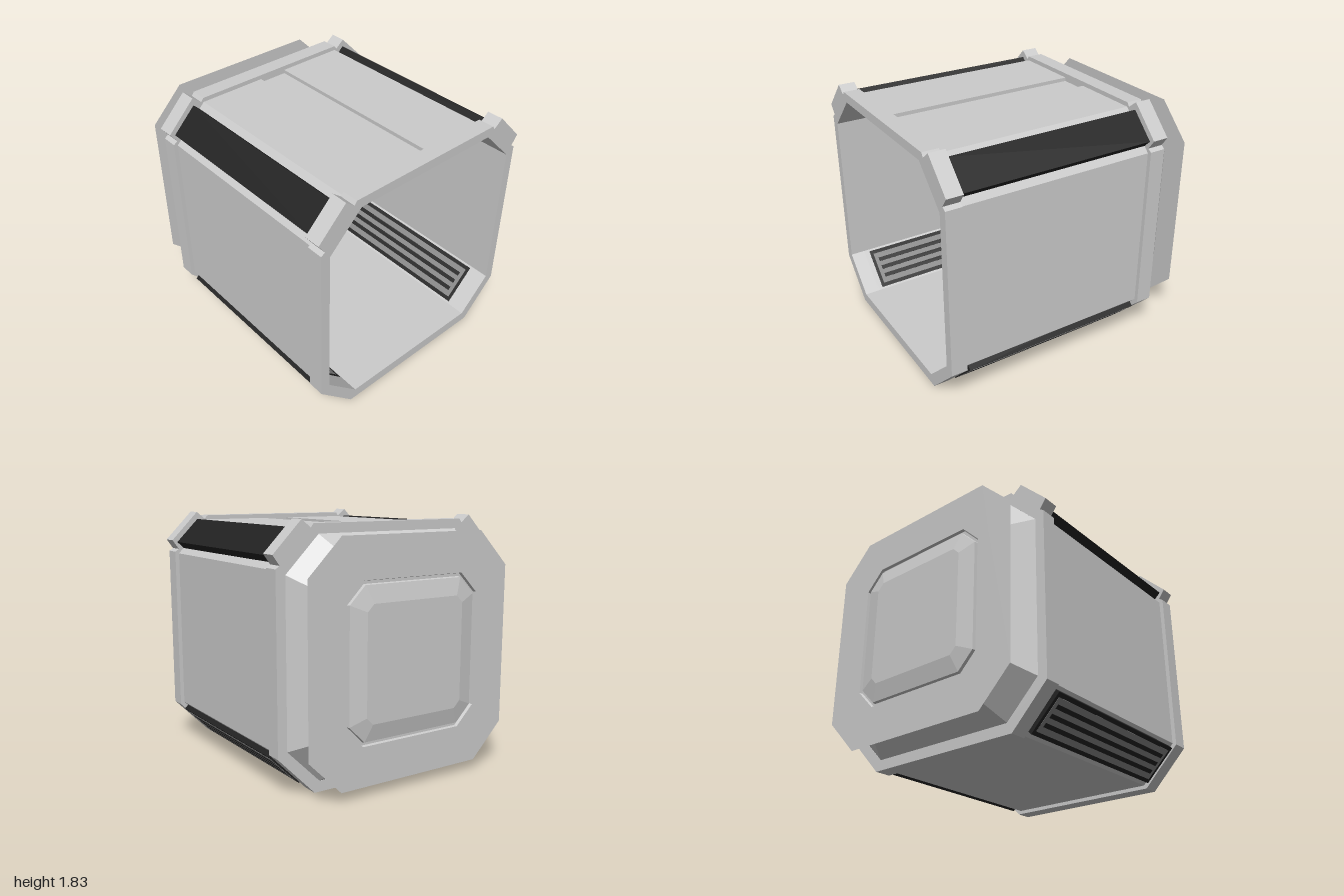
import * as THREE from 'three';

const grey = new THREE.MeshStandardMaterial({ color: 0xcccccc, flatShading: true });
const greyThin = new THREE.MeshStandardMaterial({ color: 0xcccccc, flatShading: true, side: THREE.DoubleSide });
const black = new THREE.MeshStandardMaterial({ color: 0x222222, flatShading: true });
const ventGrey = new THREE.MeshStandardMaterial({ color: 0x888888, flatShading: true });

// Octagon with cut corners, counter-clockwise from the lower right
const oct = (hx, y0, y1, c) => [
  [hx - c, y0], [hx, y0 + c], [hx, y1 - c], [hx - c, y1],
  [c - hx, y1], [-hx, y1 - c], [-hx, y0 + c], [c - hx, y0],
];
const vecs = (pts) => pts.map(([x, y]) => new THREE.Vector2(x, y));
const mirrored = (half) => [...half, ...half.slice().reverse().map(([x, y]) => [-x, y])];

function holed(outer, inner) {
  const shape = new THREE.Shape(vecs(outer));
  shape.holes.push(new THREE.Path(vecs(inner)));
  return shape;
}

function slab(outer, inner, z0, z1) {
  const geo = new THREE.ExtrudeGeometry(holed(outer, inner), { depth: z1 - z0, bevelEnabled: false });
  return geo.translate(0, 0, z0);
}

// Faceted skin through octagon rings, closed by a flat cap on the last ring
function loft(rings) {
  const pos = [];
  const tri = (...p) => p.forEach((v) => pos.push(...v));
  const loops = rings.map(([hx, y0, y1, c, z]) => oct(hx, y0, y1, c).map(([x, y]) => [x, y, z]));
  for (let r = 0; r < loops.length - 1; r++) {
    for (let i = 0; i < 8; i++) {
      const j = (i + 1) % 8, a = loops[r], b = loops[r + 1];
      tri(a[i], b[i], a[j]);
      tri(a[j], b[i], b[j]);
    }
  }
  const last = loops[loops.length - 1];
  for (let i = 1; i < 7; i++) tri(last[0], last[i + 1], last[i]);
  const geo = new THREE.BufferGeometry();
  geo.setAttribute('position', new THREE.Float32BufferAttribute(pos, 3));
  geo.computeVertexNormals();
  return geo;
}

export function createModel() {
  const model = new THREE.Group();
  const add = (name, geo, mat, parent = model) => {
    const mesh = new THREE.Mesh(geo, mat);
    mesh.name = name;
    parent.add(mesh);
    return mesh;
  };

  const opening = oct(0.83, 0.08, 1.74, 0.25);

  // Tube walls, with a shallow channel along the roof
  const wall = mirrored([
    [0.6, 0.03], [0.87, 0.305], [0.87, 1.515], [0.62, 1.775], [0.11, 1.775], [0.11, 1.748],
  ]);
  add('hull', slab(wall, opening, -0.6, 0.89), grey);

  // End frames with raised blocks at the upper corners
  const frame = mirrored([
    [0.62, 0.003], [0.9, 0.29], [0.9, 1.53], [0.87, 1.55], [0.92, 1.62],
    [0.708, 1.835], [0.64, 1.78], [0.62, 1.807],
  ]);
  add('frontFrame', slab(frame, opening, 0.88, 1), grey);
  add('backFrame', slab(frame, opening, -0.71, -0.59), grey);

  for (const side of [1, -1]) {
    // Dark strip on each upper corner
    const strip = add('cornerStrip', new THREE.BoxGeometry(0.247, 0.106, 1.47), black);
    strip.position.set(side * 0.755, 1.655, 0.145);
    strip.rotation.z = -side * Math.PI / 4;

    // Vent passing through each lower corner
    const vent = new THREE.Group();
    vent.name = 'vent';
    vent.position.set(side * 0.735, 0.175, 0.145);
    vent.rotation.z = side * Math.PI / 4;
    model.add(vent);
    add('ventFrame', new THREE.BoxGeometry(0.32, 0.087, 1.41), black, vent);
    add('ventPlate', new THREE.BoxGeometry(0.26, 0.091, 1.36), ventGrey, vent);
    for (const x of [-0.07, 0, 0.07]) {
      const slot = add('ventSlot', new THREE.BoxGeometry(0.032, 0.095, 1.3), black, vent);
      slot.position.x = x;
    }
  }

  // Tapered back end running into a grooved, bulging panel
  add('backTaperAndPanel', loft([
    [0.835, 0.075, 1.745, 0.25, -0.7],
    [0.636, 0.27, 1.54, 0.187, -0.972],
    [0.55, 0.36, 1.455, 0.14, -0.972],
    [0.545, 0.365, 1.45, 0.138, -0.95],
    [0.525, 0.385, 1.43, 0.125, -0.95],
    [0.52, 0.39, 1.425, 0.12, -0.972],
    [0.4, 0.51, 1.305, 0.05, -1],
  ]), greyThin);

  // Thin flange around the back panel
  const flange = new THREE.ShapeGeometry(holed(opening, oct(0.636, 0.27, 1.54, 0.187)));
  add('backFlange', flange.translate(0, 0, -0.972), greyThin);

  return model;
}
